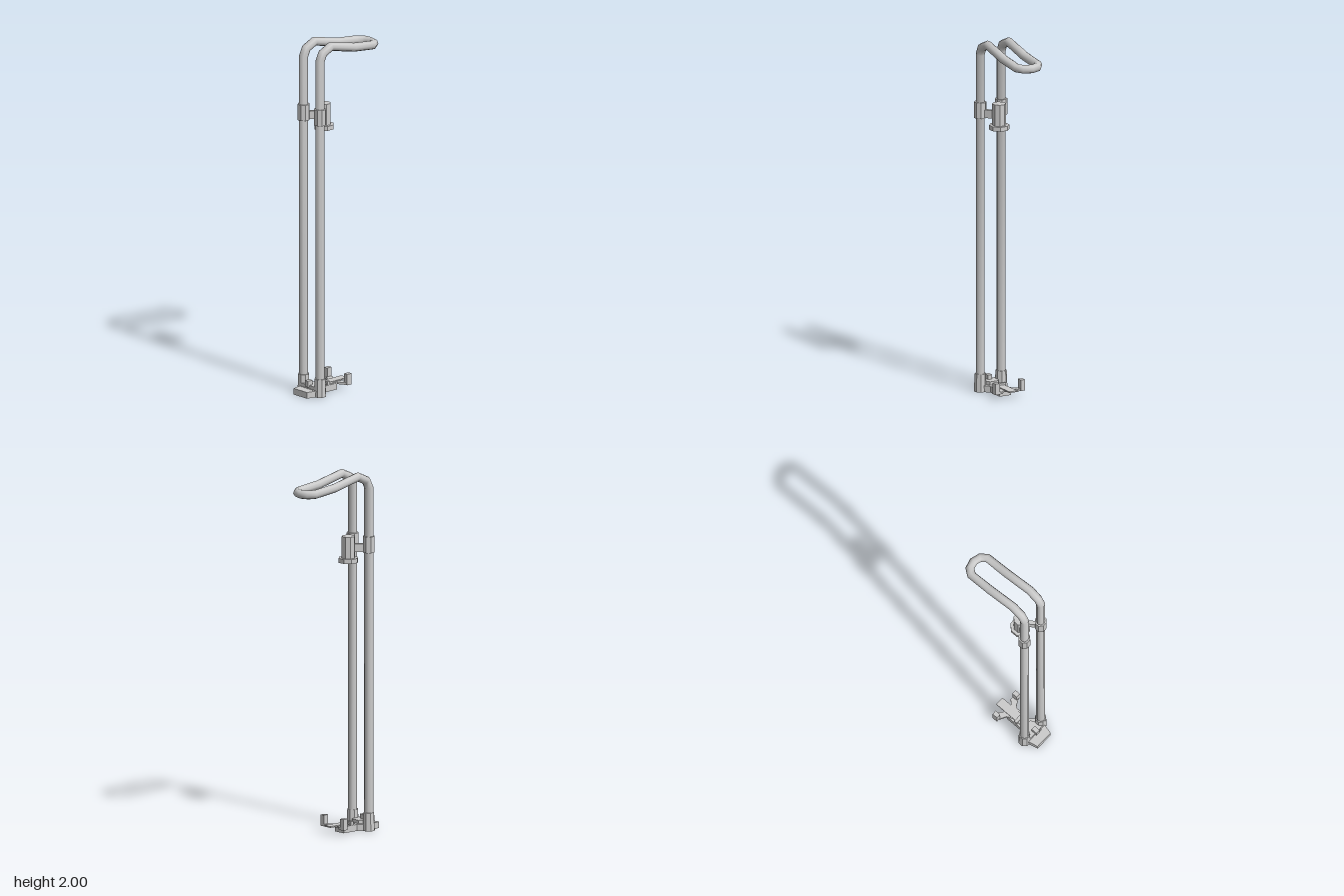
import * as THREE from 'three';

// Path of straight runs whose tangents bisect the corners
class Bends extends THREE.Curve {
  constructor(points) { super(); this.points = points; }
  getUtoTmapping(u) { return u; }
  getPoint(t, out = new THREE.Vector3()) {
    const n = this.points.length - 1;
    const i = Math.min(Math.floor(t * n + 1e-6), n - 1);
    return out.lerpVectors(this.points[i], this.points[i + 1], t * n - i);
  }
  getTangent(t, out = new THREE.Vector3()) {
    const p = this.points, n = p.length - 1, i = Math.round(t * n);
    const dir = (a, b) => p[b].clone().sub(p[a]).normalize();
    out.set(0, 0, 0);
    if (i > 0) out.add(dir(i - 1, i));
    if (i < n) out.add(dir(i, i + 1));
    return out.normalize();
  }
}

export function createModel() {
  const group = new THREE.Group();
  const flat = new THREE.MeshStandardMaterial({ color: 0xcccccc, flatShading: true });
  const smooth = new THREE.MeshStandardMaterial({ color: 0xcccccc });

  const add = (name, geometry, material = flat) => {
    const mesh = new THREE.Mesh(geometry, material);
    mesh.name = name;
    group.add(mesh);
    return mesh;
  };
  const box = (name, x0, x1, y0, y1, z0, z1) =>
    add(name, new THREE.BoxGeometry(x1 - x0, y1 - y0, z1 - z0))
      .position.set((x0 + x1) / 2, (y0 + y1) / 2, (z0 + z1) / 2);
  const drum = (name, x, z, y0, y1, rTop, rBottom = rTop) =>
    add(name, new THREE.CylinderGeometry(rTop, rBottom, y1 - y0, 8).rotateY(Math.PI / 8))
      .position.set(x, (y0 + y1) / 2, z);
  // Horizontal plate from the [x, z] outline of its +x half, mirrored
  const plate = (name, half, y0, y1) => {
    const mirrored = half.map(([x, z]) => [-x, z]).reverse();
    const shape = new THREE.Shape([...half, ...mirrored].map(([x, z]) => new THREE.Vector2(x, -z)));
    const geometry = new THREE.ExtrudeGeometry(shape, { depth: y1 - y0, bevelEnabled: false });
    add(name, geometry.rotateX(-Math.PI / 2).translate(0, y0, 0));
  };

  // Bent tube: two uprights joined by the looped handle
  const half = [
    [0.066, 0.03, 0.185], [0.066, 1.905, 0.185], [0.066, 1.947, 0.165], [0.066, 1.974, 0.105],
    [0.066, 1.934, -0.065], [0.066, 1.918, -0.203], [0.042, 1.916, -0.236],
  ];
  const path = [...half, [0, 1.915, -0.248], ...half.map(([x, y, z]) => [-x, y, z]).reverse()]
    .map((p) => new THREE.Vector3(...p));
  add('handleTube', new THREE.TubeGeometry(new Bends(path), path.length - 1, 0.025, 8), smooth);

  // Clamp with its hanging cylinder
  drum('clampCylinder', 0, 0.095, 1.515, 1.637, 0.038);
  drum('clampFlange', 0, 0.095, 1.492, 1.517, 0.056);

  for (const side of [1, -1]) {
    const x = side * 0.066;
    drum('footSleeve', x, 0.185, 0, 0.1, 0.031, 0.035);
    drum('clampCollar', x, 0.185, 1.545, 1.635, 0.034);

    // Diagonal arm from collar to cylinder
    const arm = add('clampArm', new THREE.BoxGeometry(0.022, 0.045, 0.11));
    arm.position.set(x / 2, 1.572, 0.14);
    arm.rotation.y = Math.atan2(x, 0.09);

    // Upturned end of the rear cross piece
    box('pedalPost', x + side * 0.014 - 0.013, x + side * 0.014 + 0.013, 0.03, 0.092, -0.024, 0.008);
  }

  // Base and its fittings
  plate('frontToe', [[0.053, 0.27], [0.066, 0.215], [0.06, 0.19]], 0, 0.035);
  plate('base', [[0.06, 0.22], [0.065, 0.16], [0.036, 0.125], [0.036, 0.03]], 0, 0.036);
  plate('basePlate', [[0.06, 0.215], [0.027, 0.145]], 0.034, 0.055);
  box('latch', -0.013, 0.013, 0.045, 0.08, 0.19, 0.225);
  plate('pedalArms',
    [[0.02, 0.07], [0.04, 0.03], [0.093, 0.002], [0.093, -0.024], [0.05, -0.02], [0.025, 0.004]],
    0.03, 0.042);
  box('pedalStrip', -0.025, 0.025, 0.04, 0.047, -0.058, 0.12);
  box('pivot', -0.035, 0.035, 0.036, 0.058, 0.082, 0.1);

  return group;
}
